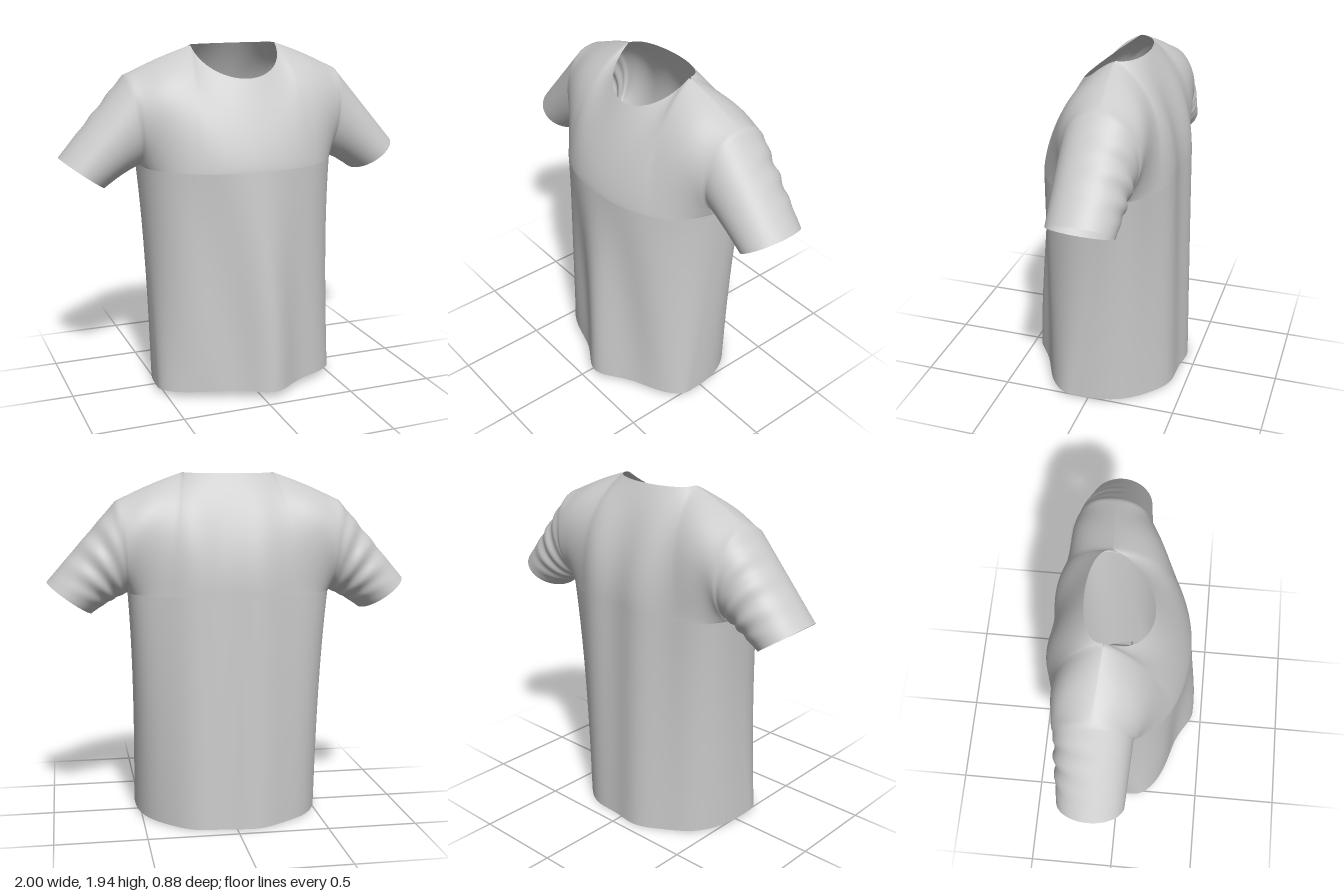
import * as THREE from 'three';
import { mergeVertices } from 'three/addons/utils/BufferGeometryUtils.js';

const { lerp } = THREE.MathUtils;
const COLS = 72, LOW = 36, HIGH = 32, SLEEVE = 28;
const PIT = 1.29;   // armpit height
const NECK = 0.45;  // share of the half width taken by the neck opening
const HALF = Math.PI / 2;

// Body outline ring, s = 0 at the hem and 1 at the armpits; side = 1 front, -1 back
function lowerPoint(u, s, side) {
  const c = Math.max(0, Math.cos(u * HALF));
  const x = (0.528 + 0.032 * s ** 3) * Math.sin(u * HALF);
  const mid = lerp(0.1, -0.105, s);
  const hem = side > 0 ? 0.02 + 0.025 * c : 0.02 - 0.02 * c;
  let z;
  if (side > 0) {
    z = mid + (lerp(0.34, 0.362, s) - mid) * c ** lerp(1, 0.8, s);
    // hanging fold at the front, softer drapes to its sides
    z += (1 - s) * 0.105 * Math.exp(-(((x - 0.06) / 0.15) ** 2));
    z += (1 - s) * s * 0.05 * c * Math.cos(x * 15 - 1 + s * 2);
  } else {
    z = mid + (lerp(-0.437, -0.41, s) - mid) * c ** 0.75;
    z += backFold(x, c);
  }
  return [x, lerp(hem, PIT, s), z];
}

// Vertical drapes down the back
function backFold(x, c) {
  return -0.012 * c * Math.cos(x * 17 + 2.2);
}

// Neckline and shoulder seam
function topPoint(u, side) {
  const a = Math.abs(u), sg = Math.sign(u);
  if (a <= NECK) {
    const p = (u / NECK) * HALF, c = Math.cos(p);
    return side > 0
      ? [0.25 * Math.sin(p), 1.94 - 0.17 * c, -0.08 + 0.235 * c]
      : [0.25 * Math.sin(p), 1.94 - 0.006 * c, -0.08 - 0.12 * c ** 0.8];
  }
  const k = (a - NECK) / (1 - NECK);
  return [sg * lerp(0.25, 0.62, k), lerp(1.94, 1.787, k) + 0.008 * Math.sin(k * Math.PI), lerp(-0.08, -0.11, k)];
}

// Chest and back yoke, t = 0 at the armpits and 1 at the seam
function upperPoint(u, t, side) {
  const v = (1 - Math.cos(Math.PI * t)) / 2, a = Math.abs(u);
  const b = lowerPoint(u, 1, side), e = topPoint(u, side);
  // rounds the shoulder over the seam
  const crown = 0.3 * Math.min(1, a / NECK) ** 2 * v ** 5 * (1 - v);
  const vy = v + 1.1 * a * a * (1 - a) * Math.sin(Math.PI * v) + crown;
  const f = side > 0 ? v ** 1.4 : v ** 2;
  // rounds the armhole, fading softly into the chest
  const bulge = (side > 0 ? 0.205 : -0.205) * a ** 2.4 * Math.sin(Math.PI * t) ** (1 + 3.5 * (1 - a));
  return [lerp(b[0], e[0], v), lerp(b[1], e[1], vy), lerp(b[2], e[2], f) + bulge];
}

function panelPoint(u, row, side) {
  return row <= LOW ? lowerPoint(u, row / LOW, side) : upperPoint(u, (row - LOW) / HIGH, side);
}

// Sleeve from armhole to cuff; j runs up the front and down the back
function sleevePoint(j, k, sx) {
  const front = j <= HIGH, t = front ? j / HIGH : 2 - j / HIGH;
  const a = (Math.PI * j) / HIGH, c = Math.cos(a), s = Math.sin(a);
  const p = upperPoint(1, t, front ? 1 : -1);
  const q = [0.88 - 0.12 * c, 1.265 - 0.087 * c, -0.1 + 0.178 * s];
  const arch = Math.sin(Math.PI * k);
  // slanting creases gather on the back
  const crease = 0.008 * arch * (1 - k) * Math.max(0, 0.2 - s) * Math.sin(k * 24 + c * 4);
  return [
    sx * (lerp(p[0], q[0], k) - c * crease),
    lerp(p[1], q[1], k) + arch * 0.008 * Math.max(0, c) - c * crease,
    lerp(p[2], q[2], k) + s * 1.5 * crease,
  ];
}

export function createModel() {
  const positions = [], index = [], parts = [];

  // Adds a grid of quads; flip reverses the winding
  function addGrid(name, nu, nv, point, flip) {
    const base = positions.length / 3, start = index.length, w = nu + 1;
    for (let j = 0; j <= nv; j++)
      for (let i = 0; i <= nu; i++) positions.push(...point(i, j));
    for (let j = 0; j < nv; j++)
      for (let i = 0; i < nu; i++) {
        const a = base + j * w + i, b = a + 1, c = a + w, d = c + 1;
        if (flip) index.push(a, c, b, b, c, d);
        else index.push(a, b, c, b, d, c);
      }
    parts.push([name, start, index.length]);
  }

  for (const side of [1, -1])
    addGrid(side > 0 ? 'frontPanel' : 'backPanel', COLS, LOW + HIGH,
      (i, j) => panelPoint((2 * i) / COLS - 1, j, side), side < 0);
  for (const sx of [1, -1])
    addGrid(sx > 0 ? 'leftSleeve' : 'rightSleeve', HIGH * 2, SLEEVE,
      (i, j) => sleevePoint(i, j / SLEEVE, sx), sx > 0);

  // Weld the seams so shading runs smoothly across the parts
  let cloth = new THREE.BufferGeometry();
  cloth.setAttribute('position', new THREE.Float32BufferAttribute(positions, 3));
  cloth.setIndex(index);
  cloth = mergeVertices(cloth, 1e-4);
  cloth.computeVertexNormals();

  const material = new THREE.MeshStandardMaterial({ color: 0xcccccc, side: THREE.DoubleSide });
  const group = new THREE.Group();
  group.name = 'tShirt';
  const welded = Array.from(cloth.index.array);
  for (const [name, start, end] of parts) {
    const piece = cloth.clone();
    piece.setIndex(welded.slice(start, end));
    const mesh = new THREE.Mesh(piece.toNonIndexed(), material);
    mesh.name = name;
    group.add(mesh);
  }
  return group;
}
